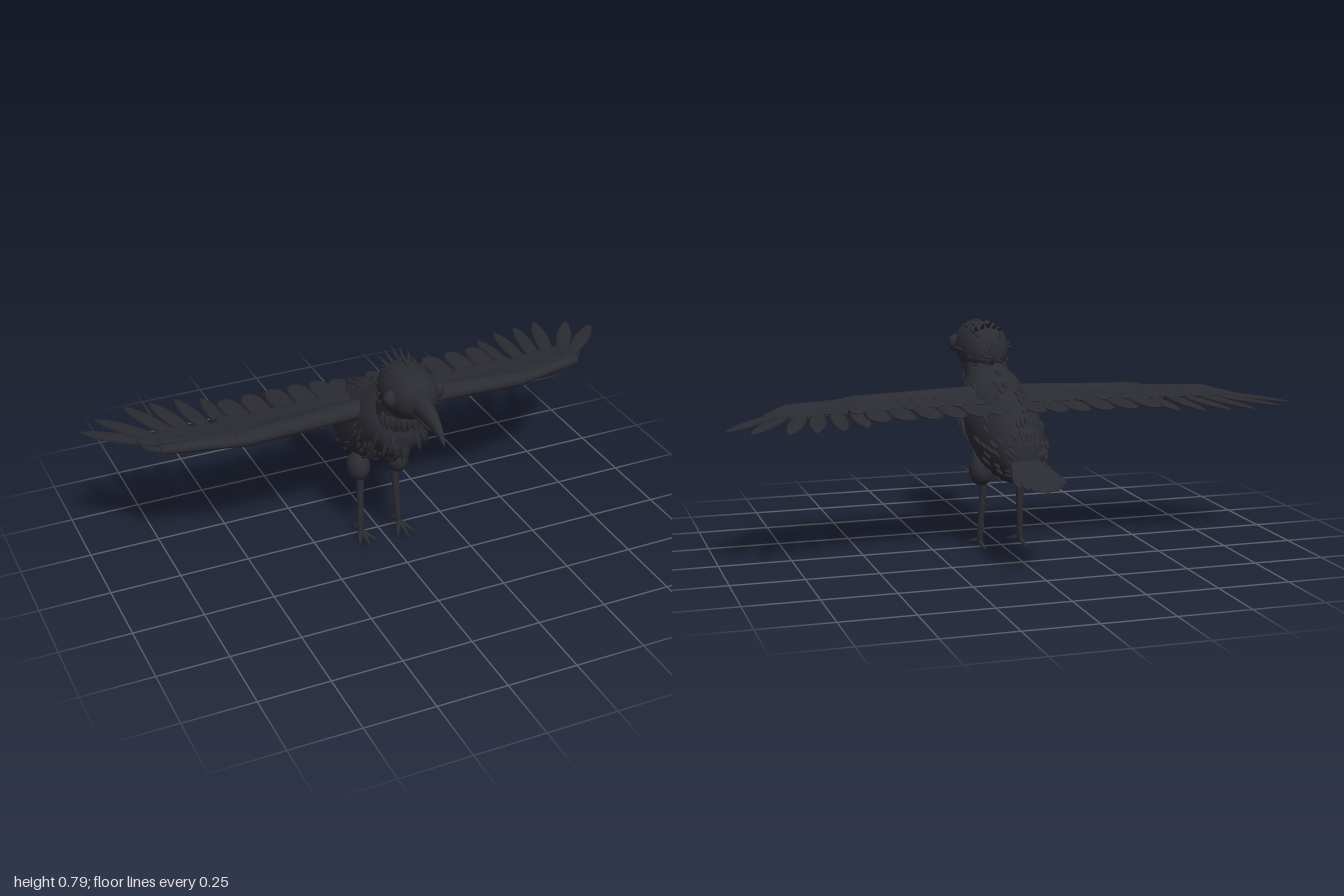
import * as THREE from 'three';

const plumage = new THREE.MeshStandardMaterial({ color: 0x2b2b33 });
plumage.name = 'charcoal plumage';

// Smooth skin over elliptical rings, each [z, y, halfWidth, halfHeight], in order of rising z
function loft(rings, sides = 24, steps = 28) {
  const path = new THREE.CatmullRomCurve3(rings.map(r => new THREE.Vector3(0, r[1], r[0])), false, 'catmullrom', 0.5);
  const size = new THREE.CatmullRomCurve3(rings.map(r => new THREE.Vector3(r[2], r[3], 0)), false, 'catmullrom', 0.5);
  const pos = [], index = [];
  for (let i = 0; i <= steps; i++) {
    const p = path.getPoint(i / steps), s = size.getPoint(i / steps);
    for (let j = 0; j < sides; j++) {
      const a = (j / sides) * Math.PI * 2;
      pos.push(Math.max(s.x, 0.0004) * Math.cos(a), p.y + Math.max(s.y, 0.0004) * Math.sin(a), p.z);
      if (i === steps) continue;
      const k = i * sides + j, n = i * sides + (j + 1) % sides;
      index.push(k, n, k + sides, n, n + sides, k + sides);
    }
  }
  const g = new THREE.BufferGeometry();
  g.setAttribute('position', new THREE.Float32BufferAttribute(pos, 3));
  g.setIndex(index);
  g.computeVertexNormals();
  return g;
}

// Unit shapes running along +z, with length 1 and half width 1
const pointedFeather = loft([[0, 0, 0.25, 0.5], [0.2, 0, 0.6, 1], [0.5, 0, 1, 1], [0.72, 0, 0.95, 0.8], [0.9, 0, 0.55, 0.5], [1, 0, 0, 0]], 8, 12);
const roundFeather = loft([[0, 0, 0.6, 0.5], [0.3, 0, 0.9, 1], [0.65, 0, 1, 1], [0.85, 0, 0.9, 0.8], [0.96, 0, 0.5, 0.5], [1, 0, 0, 0]], 8, 12);
const tuftShape = loft([[0, 0, 0.5, 0.5], [0.3, 0, 1, 1], [0.65, 0, 0.7, 0.7], [1, 0, 0, 0]], 6, 6);
const limbShape = loft([[0, 0, 0, 0], [0.01, 0, 0.9, 0.9], [0.1, 0, 1, 1], [0.55, 0, 0.9, 0.9], [0.97, 0, 0.75, 0.75], [1, 0, 0, 0]], 12, 20);

const V = (x, y, z) => new THREE.Vector3(x, y, z);

function add(parent, name, geometry) {
  const m = new THREE.Mesh(geometry, plumage);
  m.name = name;
  parent.add(m);
  return m;
}

// Stretch a unit shape from one point to another
function span(parent, name, shape, from, to, halfWidth, halfHeight) {
  const m = add(parent, name, shape);
  m.position.copy(from);
  m.lookAt(to);
  m.scale.set(halfWidth, halfHeight, from.distanceTo(to));
  return m;
}

function ball(parent, name, x, y, z, rx, ry, rz) {
  const m = add(parent, name, new THREE.SphereGeometry(1, 20, 14));
  m.position.set(x, y, z);
  m.scale.set(rx, ry, rz);
}

function group(parent, name) {
  const g = new THREE.Group();
  g.name = name;
  parent.add(g);
  return g;
}

let seed = 11;
const rand = () => (seed = (seed * 16807) % 2147483647) / 2147483647;

// Scatter small tufts over a skin, lying along a flow direction
function scatter(parent, name, skin, count, accept, flow, lift, length, width) {
  const p = skin.attributes.position, n = skin.attributes.normal;
  for (let made = 0, tries = 0; made < count && tries < 5000; tries++) {
    const i = Math.floor(rand() * p.count);
    const at = V(0, 0, 0).fromBufferAttribute(p, i), out = V(0, 0, 0).fromBufferAttribute(n, i);
    if (!accept(at)) continue;
    const dir = flow.clone().addScaledVector(out, -flow.dot(out)).normalize().addScaledVector(out, lift).normalize();
    const len = length * (0.7 + 0.6 * rand());
    span(parent, name, tuftShape, at, at.clone().addScaledVector(dir, len), width, 0.005);
    made++;
  }
}

function buildWing(root, s) {
  const wing = group(root, s > 0 ? 'leftWing' : 'rightWing');
  const shoulder = V(s * 0.06, 0.54, 0.045), wrist = V(s * 0.55, 0.528, 0.06), hand = V(s * 0.785, 0.52, -0.005);
  span(wing, 'upperArm', limbShape, shoulder, wrist, 0.042, 0.032);
  span(wing, 'hand', limbShape, V(s * 0.5, 0.528, 0.064), hand, 0.034, 0.022);

  // Flight feathers: [rootX, rootZ, tipX, tipZ]
  const secondaries = [[0.07, 0.04, 0.07, -0.23], [0.14, 0.04, 0.14, -0.245], [0.22, 0.04, 0.22, -0.25], [0.305, 0.045, 0.305, -0.25],
    [0.39, 0.05, 0.395, -0.25], [0.46, 0.05, 0.485, -0.25]];
  const primaries = [[0.53, 0.045, 0.545, -0.305], [0.59, 0.04, 0.63, -0.335], [0.64, 0.03, 0.72, -0.345], [0.685, 0.02, 0.81, -0.355],
    [0.72, 0.01, 0.925, -0.31], [0.75, 0, 0.995, -0.245]];
  const all = [...secondaries, ...primaries];
  all.forEach(([rx, rz, tx, tz], i) => {
    const isPrimary = i >= secondaries.length;
    const y = 0.53 - 0.012 * rx + (i % 2) * 0.003;
    span(wing, isPrimary ? 'primaryFeather' : 'secondaryFeather', isPrimary ? pointedFeather : roundFeather,
      V(s * rx, y, rz), V(s * tx, isPrimary ? 0.508 : 0.515, tz), isPrimary ? 0.031 : 0.046, 0.006);
  });

  // Overlapping coverts, twice as dense as the flight feathers
  const rows = [['greaterCovert', 0.5, 0.013, 0.03], ['lesserCovert', 0.3, 0.022, 0.026], ['underCovert', 0.42, -0.014, 0.032]];
  for (const [name, reach, rise, width] of rows) {
    for (let i = 0; i < all.length - 0.5; i += 0.5) {
      const a = all[Math.floor(i)], b = all[Math.min(Math.ceil(i), all.length - 1)];
      const [rx, rz, tx, tz] = a.map((v, k) => (v + b[k]) / 2);
      const k = reach * (i > 6 ? 0.75 : 1), y = 0.53 - 0.012 * rx;
      span(wing, name, roundFeather, V(s * rx, y + rise, rz),
        V(s * (rx + (tx - rx) * k), y + rise * 0.35 - 0.004, rz + (tz - rz) * k), width, 0.006);
    }
  }
}

function buildLeg(root, s) {
  const leg = group(root, s > 0 ? 'leftLeg' : 'rightLeg');
  ball(leg, 'thigh', s * 0.075, 0.28, -0.004, 0.041, 0.055, 0.051);
  const ankle = V(s * 0.075, 0.022, 0.012);
  span(leg, 'shank', limbShape, V(s * 0.066, 0.26, -0.009), V(s * 0.075, 0.015, 0.013), 0.0135, 0.0135);
  for (const [dx, z] of [[-0.036, 0.09], [0, 0.112], [0.036, 0.09], [0, -0.06]])
    span(leg, 'toe', tuftShape, ankle, V(ankle.x + dx, 0.004, z), 0.01, 0.008);
}

export function createModel() {
  const root = new THREE.Group();
  root.name = 'bird';

  // Body, neck and head
  const body = loft([[-0.295, 0.365, 0, 0], [-0.285, 0.37, 0.04, 0.055], [-0.25, 0.38, 0.075, 0.095], [-0.19, 0.395, 0.1, 0.13],
    [-0.1, 0.415, 0.12, 0.152], [0, 0.445, 0.126, 0.15], [0.08, 0.485, 0.12, 0.146], [0.14, 0.51, 0.11, 0.122],
    [0.185, 0.515, 0.092, 0.092], [0.215, 0.505, 0.06, 0.06], [0.23, 0.5, 0, 0]], 32, 44);
  add(root, 'body', body);
  span(root, 'neck', limbShape, V(0, 0.49, 0.11), V(0, 0.69, 0.235), 0.088, 0.088);
  const head = loft([[0.105, 0.675, 0, 0], [0.115, 0.675, 0.04, 0.045], [0.15, 0.68, 0.073, 0.078], [0.21, 0.684, 0.09, 0.094],
    [0.27, 0.688, 0.09, 0.09], [0.32, 0.695, 0.074, 0.076], [0.352, 0.698, 0.045, 0.05], [0.368, 0.695, 0, 0]], 28, 32);
  add(root, 'head', head);
  add(root, 'upperBeak', loft([[0.3, 0.685, 0.04, 0.045], [0.36, 0.683, 0.034, 0.04], [0.42, 0.674, 0.024, 0.032],
    [0.475, 0.655, 0.014, 0.022], [0.51, 0.632, 0.006, 0.01], [0.52, 0.62, 0, 0]], 16));
  add(root, 'lowerBeak', loft([[0.3, 0.65, 0.03, 0.015], [0.36, 0.645, 0.025, 0.013], [0.42, 0.638, 0.014, 0.008], [0.46, 0.634, 0, 0]], 12));

  for (const s of [1, -1]) {
    ball(root, 'eye', s * 0.084, 0.695, 0.285, 0.026, 0.031, 0.026);
    buildWing(root, s);
    buildLeg(root, s);
  }

  // Tail fan
  const tail = group(root, 'tail');
  for (let i = -4; i <= 4; i++) {
    const f = i / 4, a = Math.abs(f);
    span(tail, 'tailFeather', roundFeather, V(f * 0.03, 0.37 - a * 0.004, -0.25),
      V(f * 0.078, 0.3 + a * 0.012, -0.522 + a * a * 0.065), 0.022, 0.006);
  }

  // Crest and loose plumage
  const crest = group(root, 'crest');
  for (let i = -2; i <= 2; i++)
    span(crest, 'crestFeather', tuftShape, V(i * 0.018, 0.755 - Math.abs(i) * 0.006, 0.18),
      V(i * 0.028, 0.792 - Math.abs(i) * 0.009, 0.1 + Math.abs(i) * 0.008), 0.007, 0.007);
  const tufts = group(root, 'looseFeathers');
  scatter(tufts, 'chestTuft', body, 70, p => p.z > 0.08 && p.z < 0.222 && p.y < 0.52, V(0, -1, -0.35), 0.3, 0.05, 0.011);
  scatter(tufts, 'bodyTuft', body, 75, p => p.z < 0.1 && p.z > -0.27, V(0, -0.35, -1), 0.1, 0.05, 0.009);
  scatter(tufts, 'rumpTuft', body, 22, p => p.z < -0.18 && p.z > -0.285, V(0, -0.3, -1), 0.25, 0.045, 0.009);
  scatter(tufts, 'headTuft', head, 40, p => p.z < 0.25 && p.z > 0.112, V(0, -0.15, -1), 0.2, 0.038, 0.007);
  for (let i = 0; i < 11; i++) {
    const a = (i / 10 - 0.5) * 2.4, x = Math.sin(a) * 0.075, z = 0.175 + Math.cos(a) * 0.075;
    span(tufts, 'throatTuft', tuftShape, V(x, 0.605, z), V(x * 1.12, 0.53 + 0.02 * rand(), z + 0.01), 0.015, 0.01);
  }
  return root;
}
